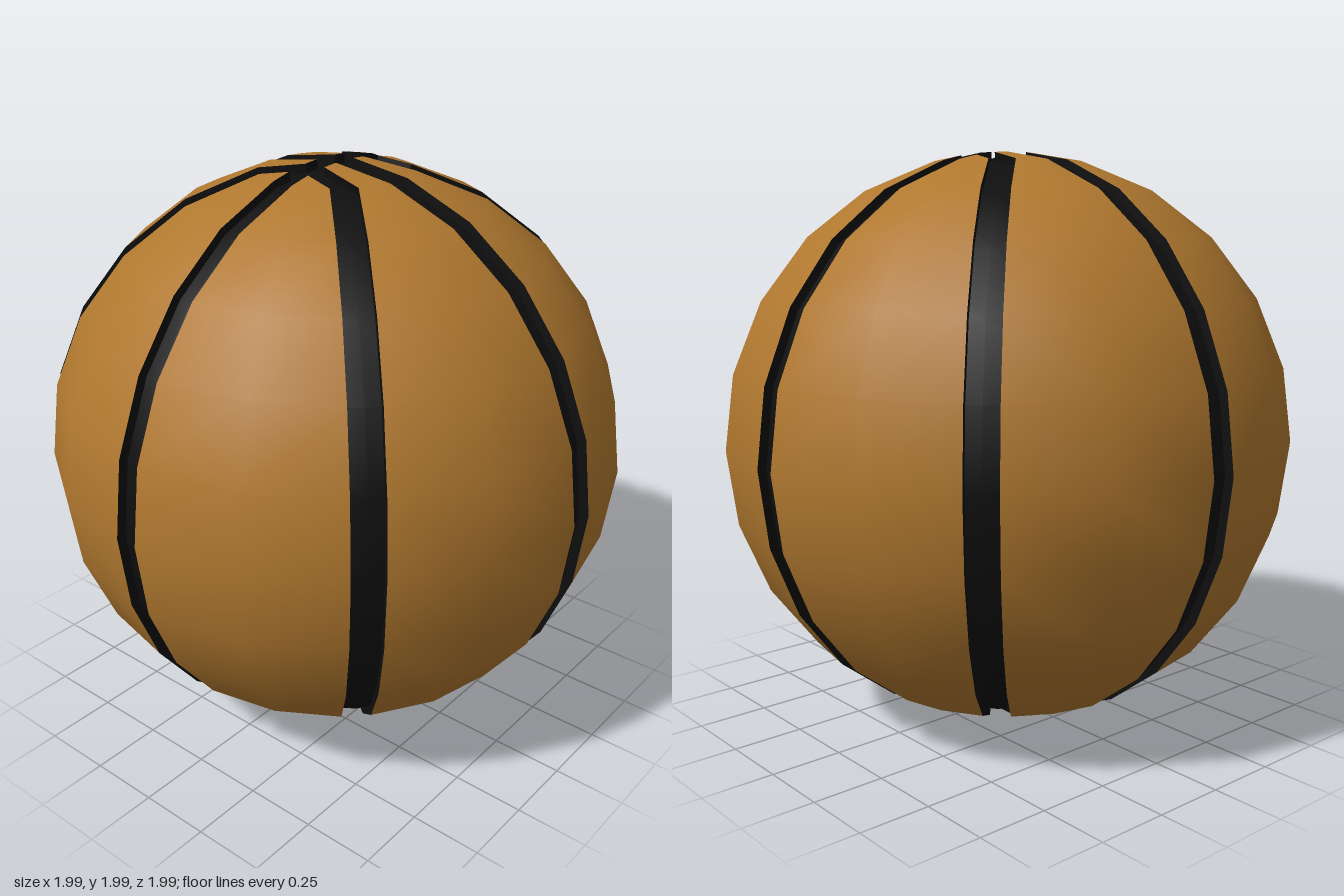
import * as THREE from 'three';

const R = 0.998, FLOOR = 0.973, ROWS = 12;
const rad = THREE.MathUtils.degToRad;

const leather = new THREE.MeshStandardMaterial({ color: 0xb0782f });
leather.name = 'tan leather';
const rubber = new THREE.MeshStandardMaterial({ color: 0x0e0e0e, side: THREE.DoubleSide });
rubber.name = 'black groove';

// Grid of points for one panel: rows from bottom to top, three columns each.
// xSide panels lie between the x axis groove and the diagonal groove,
// the others between the z axis groove and the diagonal groove.
function panelGrid(sx, sz, xSide) {
  const xe = sx > 0 ? 0.033 : 0.047; // half widths of the straight grooves
  const ze = sz > 0 ? 0.042 : 0.048;
  const grid = [];
  for (let i = 0; i <= ROWS; i++) {
    const lat = -Math.PI / 2 + (Math.PI * i) / ROWS;
    const r = R * Math.cos(lat);
    let flat;
    if (i === 0 || i === ROWS) {
      // the diagonal groove bends to meet the z axis groove near the poles
      flat = xSide ? [[xe, ze], [xe, 0.072], [xe, 0.1]] : [[xe, 0.18], [xe, 0.18], [xe, 0.18]];
    } else {
      const half = Math.asin((0.042 + 0.011 * Math.cos(lat)) / r);
      const at = (a) => [r * Math.cos(a), r * Math.sin(a)];
      flat = xSide
        ? [[Math.sqrt(r * r - ze * ze), ze], at(rad(22.5)), at(rad(45) - half)]
        : [[xe, Math.sqrt(r * r - xe * xe)], at(rad(67.5)), at(rad(45) + half)];
    }
    grid.push(flat.map(([x, z]) =>
      new THREE.Vector3(sx * x, Math.sign(lat) * Math.sqrt(Math.max(0, R * R - x * x - z * z)), sz * z)));
  }
  return grid;
}

// Outer skin with round normals
function skinGeometry(grid) {
  const pos = [], n = new THREE.Vector3(), e = new THREE.Vector3();
  const tri = (a, b, c) => {
    n.subVectors(b, a).cross(e.subVectors(c, a));
    if (n.lengthSq() < 1e-14) return;
    const order = n.dot(a) > 0 ? [a, b, c] : [a, c, b];
    order.forEach((p) => pos.push(p.x, p.y, p.z));
  };
  for (let i = 0; i < ROWS; i++) {
    for (let j = 0; j < 2; j++) {
      const [a, b, c, d] = [grid[i][j], grid[i][j + 1], grid[i + 1][j + 1], grid[i + 1][j]];
      tri(a, b, c);
      tri(a, c, d);
    }
  }
  const geo = new THREE.BufferGeometry();
  geo.setAttribute('position', new THREE.Float32BufferAttribute(pos, 3));
  geo.setAttribute('normal', new THREE.Float32BufferAttribute(pos.map((v) => v / R), 3));
  return geo;
}

// Groove walls running around the rim of a panel
function wallGeometry(grid) {
  const rim = [
    ...grid.map((row) => row[0]),
    grid[ROWS][1],
    ...grid.map((row) => row[2]).reverse(),
    grid[0][1],
  ];
  const pos = [];
  rim.forEach((a, i) => {
    const b = rim[(i + 1) % rim.length];
    if (a.distanceTo(b) < 1e-6) return;
    const c = b.clone().multiplyScalar(0.96), d = a.clone().multiplyScalar(0.96);
    [a, b, c, a, c, d].forEach((p) => pos.push(p.x, p.y, p.z));
  });
  const geo = new THREE.BufferGeometry();
  geo.setAttribute('position', new THREE.Float32BufferAttribute(pos, 3));
  geo.computeVertexNormals();
  return geo;
}

export function createModel() {
  const ball = new THREE.Group();
  ball.name = 'ball';
  ball.position.y = 1;

  // Inner core forms the groove floors
  const core = new THREE.Mesh(new THREE.SphereGeometry(FLOOR, 16, ROWS), rubber);
  core.name = 'grooveFloor';
  ball.add(core);

  // Eight raised panels
  for (const sx of [1, -1]) {
    for (const sz of [1, -1]) {
      for (const xSide of [true, false]) {
        const grid = panelGrid(sx, sz, xSide);
        const panel = new THREE.Group();
        panel.name = `${sz > 0 ? 'front' : 'back'}${sx > 0 ? 'Left' : 'Right'}${xSide ? 'Side' : 'Middle'}Panel`;
        const skin = new THREE.Mesh(skinGeometry(grid), leather);
        skin.name = 'panelSkin';
        const wall = new THREE.Mesh(wallGeometry(grid), rubber);
        wall.name = 'grooveWall';
        panel.add(skin, wall);
        ball.add(panel);
      }
    }
  }

  const model = new THREE.Group();
  model.name = 'groovedBall';
  model.add(ball);
  return model;
}
